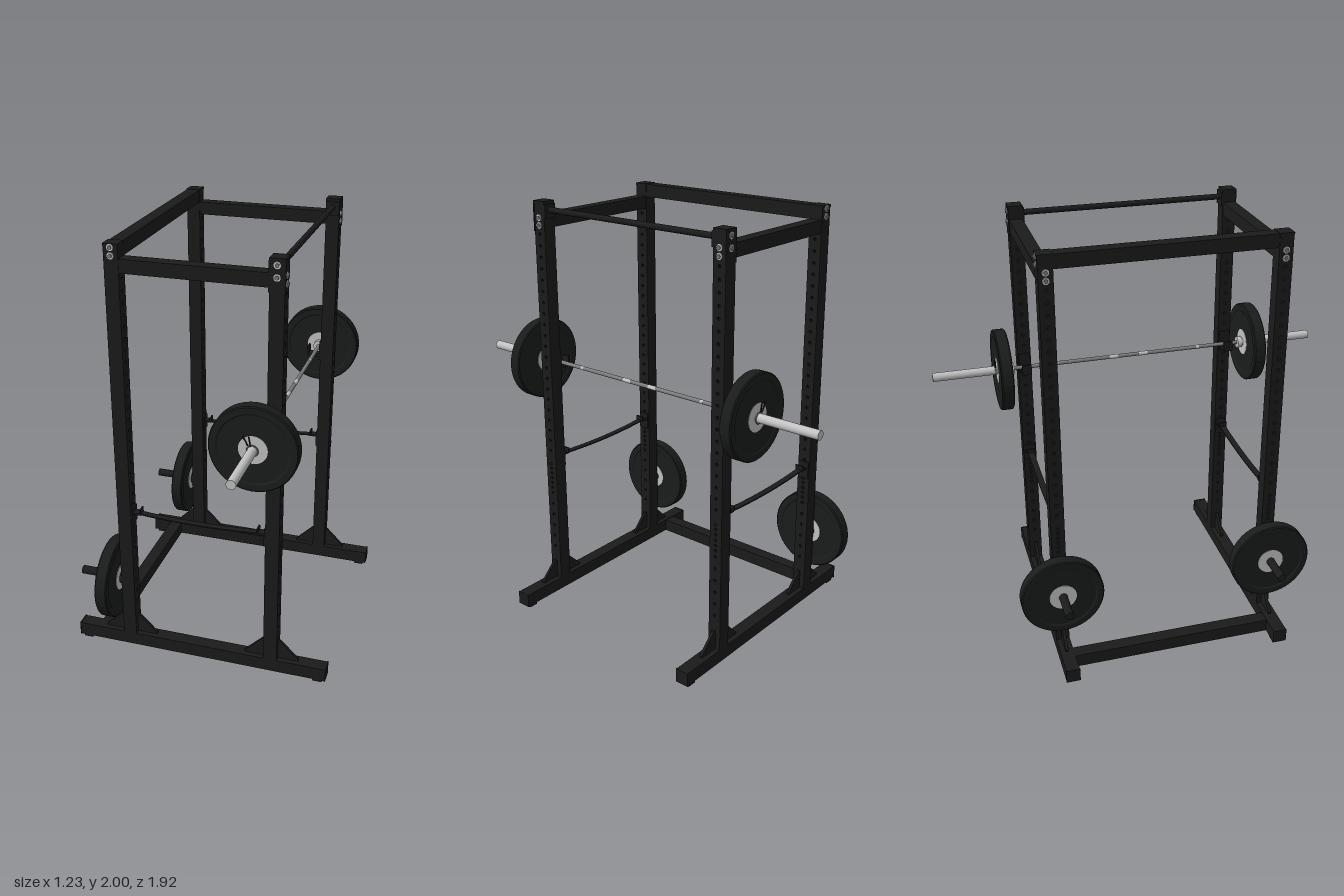
import * as THREE from 'three';

export function createModel() {
  const model = new THREE.Group();
  const material = (name, color) => {
    const m = new THREE.MeshStandardMaterial({ color });
    m.name = name;
    return m;
  };
  const black = material('black steel', 0x1b1b1b);
  const rubber = material('plate rubber', 0x1a1c1c);
  const chrome = material('chrome', 0xc2c2c2);
  const shaftGrey = material('knurled steel', 0x7d7d7d);

  const add = (name, geo, mat, x = 0, y = 0, z = 0, parent = model) => {
    const mesh = new THREE.Mesh(geo, mat);
    mesh.name = name;
    mesh.position.set(x, y, z);
    parent.add(mesh);
    return mesh;
  };
  const box = (name, w, h, d, x, y, z, mat = black) =>
    add(name, new THREE.BoxGeometry(w, h, d), mat, x, y, z);
  const rodX = (name, r, len, mat, x, y, z, seg = 20) =>
    add(name, new THREE.CylinderGeometry(r, r, len, seg).rotateZ(Math.PI / 2), mat, x, y, z);
  const rodZ = (name, r, len, mat, x, y, z, seg = 20) =>
    add(name, new THREE.CylinderGeometry(r, r, len, seg).rotateX(Math.PI / 2), mat, x, y, z);

  const T = 0.064;   // tube width
  const UX = 0.349;  // upright centre, x
  const UZ = 0.513;  // upright centre, z

  // Upright with adjustment holes running through it along x
  const outline = new THREE.Shape();
  outline.moveTo(-T / 2, 0.077);
  outline.lineTo(T / 2, 0.077);
  outline.lineTo(T / 2, 1.99);
  outline.lineTo(-T / 2, 1.99);
  outline.closePath();
  const punch = (y) => {
    const hole = new THREE.Path();
    hole.absarc(0, y, 0.0075, 0, Math.PI * 2, true);
    outline.holes.push(hole);
  };
  for (let y = 0.25; y < 0.56; y += 0.06) punch(y);
  for (let y = 0.58; y < 0.69; y += 0.026) punch(y);
  for (let y = 0.78; y < 1.86; y += 0.0535) punch(y);
  const uprightGeo = new THREE.ExtrudeGeometry(outline, { depth: T, bevelEnabled: false, curveSegments: 5 });
  uprightGeo.translate(0, 0, -T / 2).rotateY(Math.PI / 2);

  // Triangular gusset plate rising towards the upright
  const tri = new THREE.Shape();
  tri.moveTo(0, 0);
  tri.lineTo(0.097, 0);
  tri.lineTo(0.097, 0.008);
  tri.lineTo(0.01, 0.095);
  tri.lineTo(0, 0.095);
  const gussetGeo = new THREE.ExtrudeGeometry(tri, { depth: 0.014, bevelEnabled: false });
  gussetGeo.translate(0, 0, -0.007);

  // Bumper plate: rubber disc with a metal hub, axis along y
  const tireGeo = new THREE.LatheGeometry([
    [0.062, -0.024], [0.155, -0.024], [0.163, -0.029], [0.19, -0.029], [0.195, -0.024],
    [0.195, 0.024], [0.19, 0.029], [0.163, 0.029], [0.155, 0.024], [0.062, 0.024],
  ].map(([r, y]) => new THREE.Vector2(r, y)), 48);
  const tireFlat = tireGeo.toNonIndexed();
  tireFlat.computeVertexNormals();
  const hubGeo = new THREE.CylinderGeometry(0.064, 0.064, 0.052, 32);
  const plate = (name, x, y, z, alongX) => {
    const g = new THREE.Group();
    g.name = name;
    add('plateRubber', tireFlat, rubber, 0, 0, 0, g);
    add('plateHub', hubGeo, chrome, 0, 0, 0, g);
    if (alongX) g.rotation.z = Math.PI / 2;
    else g.rotation.x = Math.PI / 2;
    g.position.set(x, y, z);
    model.add(g);
  };

  const BX = 0.288, BY = 1.216; // barbell axis

  for (const sz of [1, -1]) {
    const z = sz * UZ;
    box('baseBeam', 1.22, T, T, 0, 0.045, z);
    box('topSideBeam', UX * 2 - T, 0.06, 0.06, 0, 1.908, z);

    for (const sx of [1, -1]) {
      const x = sx * UX;
      add('upright', uprightGeo, black, x, 0, z);
      box('uprightCap', T + 0.003, 0.012, T + 0.003, x, 1.994, z);
      box('footPad', 0.045, 0.014, 0.055, sx * 0.575, 0.007, z);
      box('endCap', 0.006, T + 0.003, T + 0.003, sx * 0.611, 0.045, z);
      for (const dir of [1, -1]) {
        const g = add('gusset', gussetGeo, black, x + dir * T / 2, 0.077, z);
        if (dir < 0) g.rotation.y = Math.PI;
      }

      // Bolts on the outer faces near the top
      for (const y of sx > 0 ? [1.972, 1.922] : [1.985, 1.95]) {
        rodZ('boltWasher', 0.015, 0.004, chrome, x, y, z + sz * (T / 2 + 0.002), 16);
        rodZ('boltHead', 0.009, 0.008, shaftGrey, x, y, z + sz * (T / 2 + 0.006), 6);
      }
      for (const y of [1.925, 1.89]) {
        rodX('boltWasher', 0.015, 0.004, chrome, x + sx * (T / 2 + 0.002), y, z, 16);
        rodX('boltHead', 0.009, 0.008, shaftGrey, x + sx * (T / 2 + 0.005), y, z, 6);
      }

      // Strap bracket: back plate, shelf, lip and locking pin
      box('strapBracketPlate', 0.008, 0.085, 0.055, sx * 0.314, 0.73, z);
      box('strapBracketShelf', 0.042, 0.008, 0.04, sx * 0.295, 0.741, z);
      box('strapBracketLip', 0.007, 0.026, 0.04, sx * 0.277, 0.752, z);
      rodX('strapBracketPin', 0.007, T + 0.014, black, x, 0.71, z, 10);
    }

    // Sagging safety strap, made by bending a thin box
    const strapGeo = new THREE.BoxGeometry(0.6, 0.006, 0.03, 20, 1, 1);
    const p = strapGeo.attributes.position;
    for (let i = 0; i < p.count; i++) {
      const t = p.getX(i) / 0.3;
      p.setY(i, p.getY(i) + 0.729 + 0.013 * t * t);
    }
    strapGeo.computeVertexNormals();
    add('safetyStrap', strapGeo, black, 0, 0, z);

    // J-cup carrying the bar
    box('cupPlate', 0.008, 0.1, 0.055, 0.313, 1.225, z);
    box('cupShelf', 0.07, 0.014, 0.045, 0.282, BY - 0.018, z);
    box('cupLip', 0.01, 0.05, 0.045, 0.251, BY, z);

    // Pull-up bar flange
    box('pullUpFlange', T, 0.065, 0.008, UX, 1.955, z - sz * (T / 2 + 0.004));
    box('pullUpBracket', T + 0.006, 0.13, 0.006, UX, 1.925, z + sz * (T / 2 - 0.001));

    // Stored plate on its peg
    rodX('storagePeg', 0.02, 0.21, black, -0.485, 0.373, z);
    rodX('pegFlange', 0.032, 0.01, black, -0.386, 0.373, z);
    plate('storedPlate', -0.419, 0.373, z, true);

    // Barbell sleeve, collar, plate and spring clip
    rodZ('barSleeve', 0.021, 0.385, chrome, BX, BY, sz * 0.7665, 24);
    rodZ('barCollar', 0.028, 0.022, chrome, BX, BY, sz * 0.583, 24);
    plate('barPlate', BX, BY, sz * 0.627, false);
    add('springClip', new THREE.TorusGeometry(0.024, 0.003, 8, 24), shaftGrey, BX, BY, sz * 0.661);
    for (const [dx, tilt] of [[-0.03, 0.5], [-0.012, 0.2]]) {
      const handle = add('clipHandle', new THREE.CylinderGeometry(0.003, 0.003, 0.045, 8),
        black, BX + dx, BY + 0.042, sz * 0.662);
      handle.rotation.z = tilt;
    }
  }

  // Beams and bars spanning the two sides
  box('topRearBeam', 0.06, 0.062, UZ * 2 - T, -UX, 1.967, 0);
  box('baseRearBeam', 0.062, T, UZ * 2 - T, -0.487, 0.043, 0);
  rodZ('pullUpBar', 0.0135, UZ * 2 - T, black, UX, 1.96, 0);

  // Barbell shaft with smooth bright bands between the knurling
  rodZ('barShaft', 0.0095, 1.16, shaftGrey, BX, BY, 0);
  for (const z of [-0.36, -0.075, 0.075, 0.36]) {
    rodZ('smoothBand', 0.0102, Math.abs(z) > 0.2 ? 0.015 : 0.045, chrome, BX, BY, z);
  }

  return model;
}
